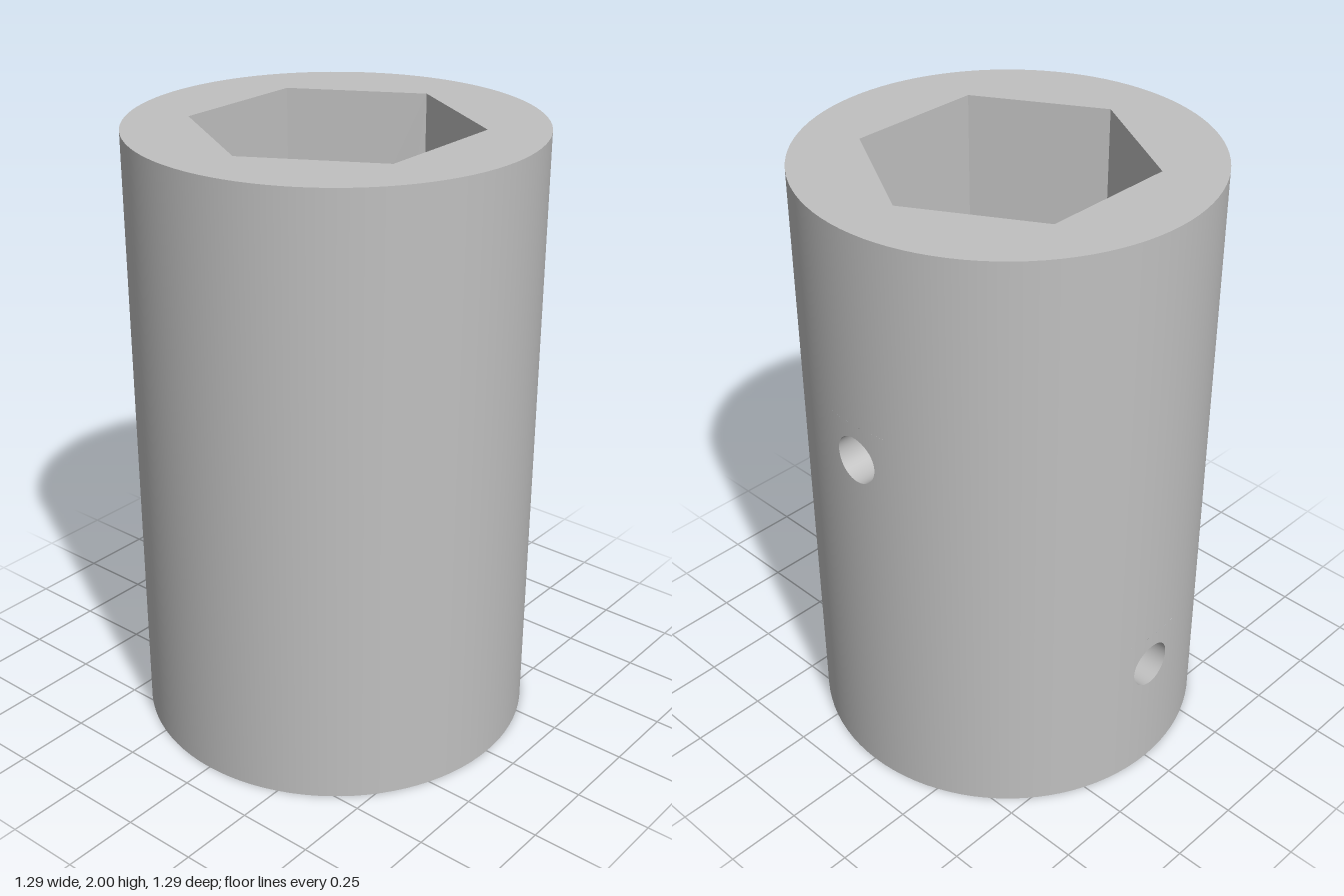
import * as THREE from 'three';
import { ParametricGeometry } from 'three/addons/geometries/ParametricGeometry.js';

const R = 0.645, H = 2;                                // outer sleeve
const HEX_R = 0.454, HEX_A = HEX_R * Math.cos(Math.PI / 6), HEX_FLOOR = 0.95;
const BORE_R = 0.245, BORE_FLOOR = 0.83;               // round recess under the socket
const D_R = 0.127, D_FLAT = 0.096, D_TOP = 0.75;       // D-shaped shaft bore
const SCREW_R = 0.078, HEX_SCREW_Y = 1.24, D_SCREW_Y = 0.415;
const SEGS = 96, STEP = 2 * Math.PI / SEGS, HALF = 3 * STEP, PATCH = 0.125;
const D_ANGLE = Math.acos(D_FLAT / D_R);

export function createModel() {
  const group = new THREE.Group();
  const steel = new THREE.MeshStandardMaterial({ color: 0xc0c0c0 });
  steel.name = 'lightGrey';

  const add = (name, geometry) => {
    const mesh = new THREE.Mesh(geometry, steel);
    mesh.name = name;
    group.add(mesh);
    return mesh;
  };

  // Upright round wall: faces outward when y0 < y1, inward otherwise
  const wall = (name, r, y0, y1, start = 0, length = 2 * Math.PI) =>
    add(name, new THREE.LatheGeometry(
      [new THREE.Vector2(r, y0), new THREE.Vector2(r, y1)],
      Math.round(length / STEP), start, length));

  // Level face at height y, looking up or down
  const level = (name, shape, y, up) =>
    add(name, new THREE.ShapeGeometry(shape, SEGS / 2)
      .rotateX(up ? -Math.PI / 2 : Math.PI / 2).translate(0, y, 0));

  const circle = r => new THREE.Shape().absarc(0, 0, r, 0, 2 * Math.PI);
  const hexagon = () => new THREE.Shape(Array.from({ length: 6 }, (_, i) =>
    new THREE.Vector2(HEX_R * Math.cos(i * Math.PI / 3), HEX_R * Math.sin(i * Math.PI / 3))));
  const dShape = () => new THREE.Shape()
    .absarc(0, 0, D_R, -Math.PI / 2 + D_ANGLE, 1.5 * Math.PI - D_ANGLE);
  const withHole = (shape, hole) => { shape.holes.push(hole); return shape; };

  // Radial screw hole: bent wall patch around it, plain wall above and below, and its lining
  const screwHole = (name, y, turn, innerDepth) => {
    wall(name + 'WallBelow', R, 0, y - PATCH, turn - HALF, 2 * HALF);
    wall(name + 'WallAbove', R, y + PATCH, H, turn - HALF, 2 * HALF);
    const patch = new ParametricGeometry((u, v, p) => {
      const a = u * 2 * Math.PI, c = Math.cos(a), s = Math.sin(a);
      const m = Math.max(Math.abs(c), Math.abs(s));
      const angle = THREE.MathUtils.lerp(HALF * c / m, Math.asin(SCREW_R * c / R), v);
      const dy = THREE.MathUtils.lerp(PATCH * s / m, SCREW_R * s, v);
      p.set(R * Math.sin(angle), y + dy, R * Math.cos(angle));
    }, 48, 4);
    add(name + 'Surround', patch).rotation.y = turn;
    const lining = new ParametricGeometry((u, v, p) => {
      const a = u * 2 * Math.PI, x = SCREW_R * Math.cos(a);
      const outer = Math.sqrt(R * R - x * x);
      p.set(x, y + SCREW_R * Math.sin(a), THREE.MathUtils.lerp(outer, innerDepth(x), v));
    }, 48, 2);
    add(name + 'Lining', lining).rotation.y = turn;
  };

  // Outer sleeve between the two screw holes
  wall('sleeveShortSide', R, 0, H, Math.PI / 2 + HALF, Math.PI / 2 - 2 * HALF);
  wall('sleeveLongSide', R, 0, H, Math.PI + HALF, 1.5 * Math.PI - 2 * HALF);
  screwHole('socketScrew', HEX_SCREW_Y, Math.PI / 2, x => HEX_R - Math.abs(x) / Math.sqrt(3));
  screwHole('shaftScrew', D_SCREW_Y, Math.PI, () => D_FLAT);

  // End faces
  level('topRim', withHole(circle(R), hexagon()), H, true);
  level('bottomFace', withHole(circle(R), dShape()), 0, false);

  // Hexagonal socket; the two sides meeting at +x are notched by the screw hole
  for (let i = 0; i < 6; i++) {
    const w = HEX_R / 2, notch = SCREW_R / Math.cos(Math.PI / 6);
    const side = new THREE.Shape().moveTo(-w, HEX_FLOOR);
    side.lineTo(w, HEX_FLOOR);
    if (i === 5) side.absellipse(w, HEX_SCREW_Y, notch, SCREW_R, 1.5 * Math.PI, Math.PI / 2, true);
    side.lineTo(w, H);
    side.lineTo(-w, H);
    if (i === 4) side.absellipse(-w, HEX_SCREW_Y, notch, SCREW_R, Math.PI / 2, -Math.PI / 2, true);
    add('socketSide', new THREE.ShapeGeometry(side, 16).translate(0, 0, -HEX_A))
      .rotation.y = i * Math.PI / 3;
  }
  level('socketFloor', withHole(hexagon(), circle(BORE_R)), HEX_FLOOR, true);

  // Round recess
  wall('recessWall', BORE_R, HEX_FLOOR, BORE_FLOOR);
  level('recessFloor', circle(BORE_R), BORE_FLOOR, true);

  // D-shaped shaft bore with its flat towards the lower screw hole
  wall('shaftBoreWall', D_R, D_TOP, 0, Math.PI + D_ANGLE, 2 * Math.PI - 2 * D_ANGLE);
  const w = D_R * Math.sin(D_ANGLE);
  const flat = new THREE.Shape([[-w, 0], [w, 0], [w, D_TOP], [-w, D_TOP]]
    .map(([x, y]) => new THREE.Vector2(x, y)));
  flat.holes.push(new THREE.Path().absarc(0, D_SCREW_Y, SCREW_R, 0, 2 * Math.PI));
  add('shaftBoreFlat', new THREE.ShapeGeometry(flat, 24).translate(0, 0, -D_FLAT));
  level('shaftBoreEnd', dShape(), D_TOP, false);

  return group;
}
